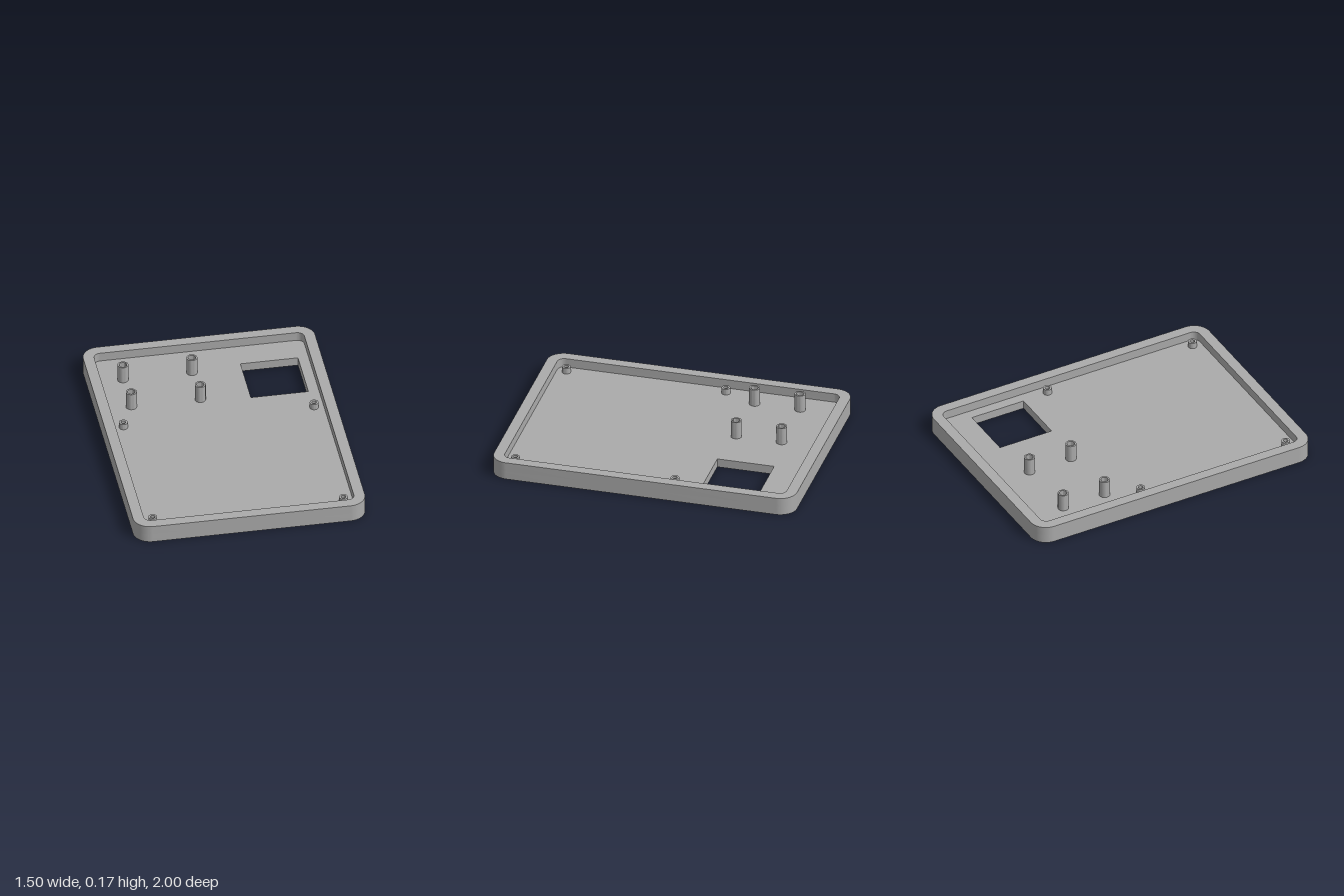
import * as THREE from 'three';
import { toCreasedNormals } from 'three/addons/utils/BufferGeometryUtils.js';

const FLOOR = 0.058, RIM = 0.118, POST_TOP = 0.175;

// Rounded rectangle centred on the origin
function roundedRect(halfW, halfD, r) {
  const s = new THREE.Shape();
  s.absarc(halfW - r, halfD - r, r, 0, Math.PI / 2);
  s.absarc(-halfW + r, halfD - r, r, Math.PI / 2, Math.PI);
  s.absarc(-halfW + r, -halfD + r, r, Math.PI, Math.PI * 1.5);
  s.absarc(halfW - r, -halfD + r, r, Math.PI * 1.5, Math.PI * 2);
  s.closePath();
  return s;
}

// Extrude a plan outline (shape y = -z) upwards from y0 to y1
function slab(shape, y0, y1) {
  const g = new THREE.ExtrudeGeometry(shape, { depth: y1 - y0, bevelEnabled: false, curveSegments: 12 });
  g.rotateX(-Math.PI / 2);
  g.translate(0, y0, 0);
  return toCreasedNormals(g, 0.6);
}

// Hollow post with a blind screw hole reaching the floor
function postGeometry(outer, inner, top) {
  const profile = [[outer, FLOOR], [outer, top], [inner, top], [inner, FLOOR + 0.002], [0, FLOOR + 0.002]];
  const g = new THREE.LatheGeometry(profile.map(([x, y]) => new THREE.Vector2(x, y)), 32);
  return toCreasedNormals(g, 0.6);
}

export function createModel() {
  const group = new THREE.Group();
  group.name = 'enclosureTray';
  const grey = new THREE.MeshStandardMaterial({ color: 0xaaaaaa });
  grey.name = 'grey plastic';
  const greyPost = grey.clone();
  greyPost.side = THREE.DoubleSide;
  const add = (name, geometry, material = grey, x = 0, z = 0) => {
    const mesh = new THREE.Mesh(geometry, material);
    mesh.name = name;
    mesh.position.set(x, 0, z);
    group.add(mesh);
  };

  // Floor with the rectangular window cutout
  const floor = roundedRect(0.75, 1, 0.11);
  floor.holes.push(new THREE.Path([[0.24, 0.365], [0.24, 0.74], [0.612, 0.74], [0.612, 0.365]]
    .map(([x, y]) => new THREE.Vector2(x, y))));
  add('floor', slab(floor, 0, FLOOR));

  // Raised wall around the edge
  const wall = roundedRect(0.75, 1, 0.11);
  wall.holes.push(roundedRect(0.68, 0.93, 0.045));
  add('rimWall', slab(wall, FLOOR, RIM));

  // Four tall board posts
  const tall = postGeometry(0.035, 0.024, POST_TOP);
  for (const x of [-0.527, -0.081])
    for (const z of [-0.702, -0.402]) add('tallPost', tall, greyPost, x, z);

  // Four short posts near the side walls
  const short = postGeometry(0.028, 0.015, 0.098);
  for (const x of [-0.617, 0.617])
    for (const z of [-0.188, 0.865]) add('shortPost', short, greyPost, x, z);

  return group;
}
